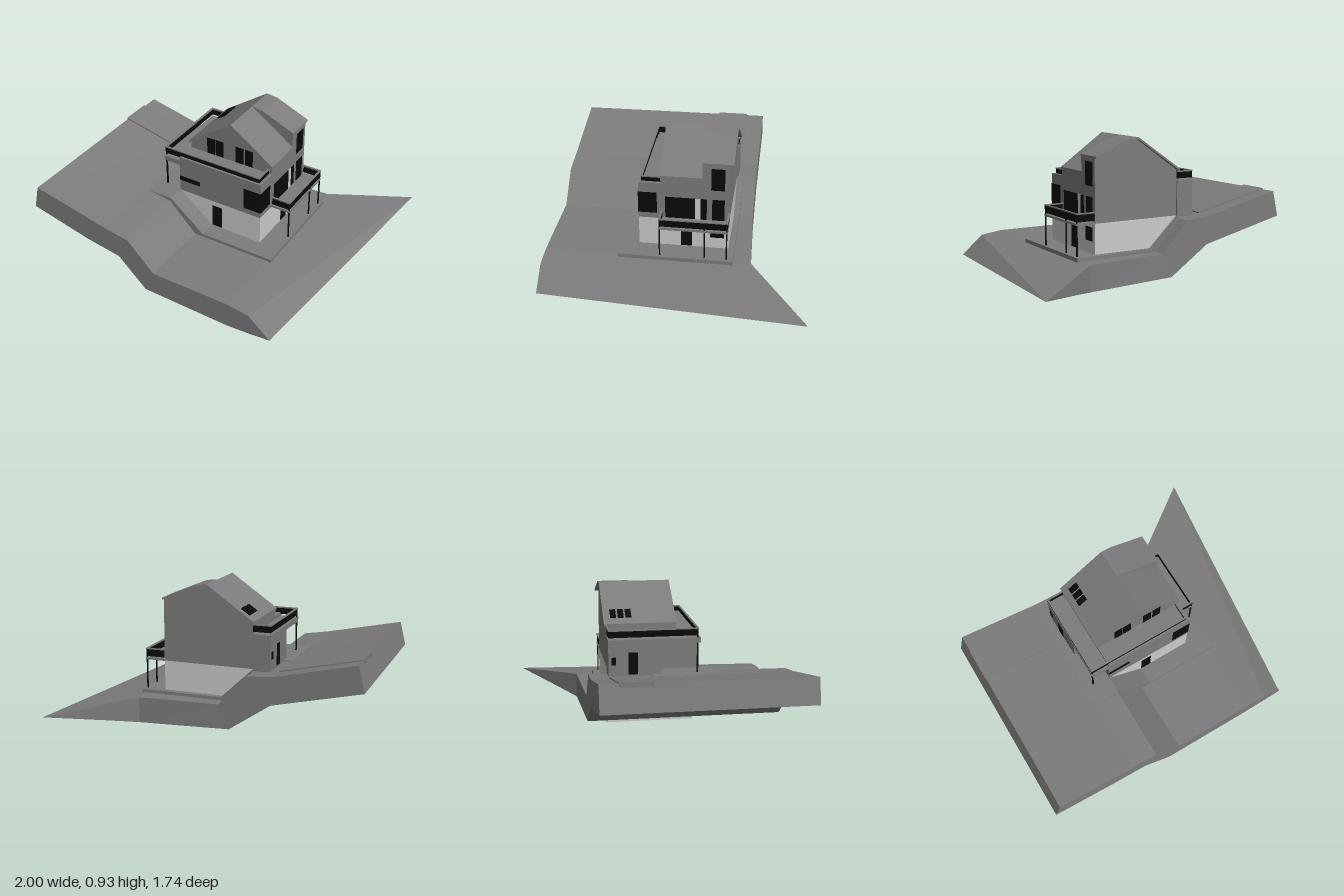
import * as THREE from 'three';

const mat = (color) => new THREE.MeshStandardMaterial({ color, flatShading: true });
const grey = mat(0x7c7c7c);
const light = mat(0xcccccc);
const black = mat(0x0a0a0a);

export function createModel() {
  const root = new THREE.Group();

  const add = (name, geometry, material) => {
    const mesh = new THREE.Mesh(geometry, material);
    mesh.name = name;
    root.add(mesh);
    return mesh;
  };
  // box given by its extents on each axis
  const box = (name, [x0, x1], [y0, y1], [z0, z1], material = grey) =>
    add(name, new THREE.BoxGeometry(x1 - x0, y1 - y0, z1 - z0), material)
      .position.set((x0 + x1) / 2, (y0 + y1) / 2, (z0 + z1) / 2);
  // outline in x, y pulled from z0 to z1
  const prism = (name, outline, z0, z1, material = grey) => {
    const shape = new THREE.Shape(outline.map(([x, y]) => new THREE.Vector2(x, y)));
    const geometry = new THREE.ExtrudeGeometry(shape, { depth: z1 - z0, bevelEnabled: false });
    add(name, geometry.translate(0, 0, z0), material);
  };

  // Sloping plot: a front and a back section joined into a solid
  const section = (xs, ys, zs) => xs.map((x, i) => [x, ys[i], zs[i]]);
  const frontZ = Array(7).fill(0.865);
  const backZ = [-0.46, -0.46, -0.46, -0.46, -0.488, -0.603, -0.87];
  const topF = section([-0.96, -0.42, -0.24, -0.05, 0.5, 0.65, 0.8], [0.515, 0.4, 0.37, 0.18, 0.18, 0.16, 0.03], frontZ);
  const topB = section([-0.96, -0.42, -0.24, -0.05, 0.5, 0.65, 1], [0.525, 0.4, 0.385, 0.18, 0.178, 0.155, 0.1], backZ);
  const botF = section([-1, -0.57, -0.32, -0.12, 0.5, 0.65, 0.8], [0.35, 0.25, 0.21, 0.02, 0.005, 0.015, 0.03], frontZ);
  const botB = section([-1, -0.57, -0.4, -0.12, 0.5, 0.65, 1], [0.35, 0.25, 0.21, 0.02, 0.005, 0.035, 0.1], backZ);
  const points = [];
  const quad = (a, b, c, d) => points.push(...a, ...b, ...c, ...a, ...c, ...d);
  for (let i = 0; i < 6; i++) {
    const j = i + 1;
    quad(topF[i], topF[j], topB[j], topB[i]);
    quad(botF[i], botB[i], botB[j], botF[j]);
    quad(botF[i], botF[j], topF[j], topF[i]);
    quad(botB[j], botB[i], topB[i], topB[j]);
  }
  quad(botB[0], botF[0], topF[0], topB[0]);
  const ground = new THREE.BufferGeometry();
  ground.setAttribute('position', new THREE.Float32BufferAttribute(points, 3));
  ground.computeVertexNormals();
  add('terrain', ground, grey);

  // Driveway and stepped paving around the house
  prism('driveway', [[-0.965, 0.5], [-0.42, 0.385], [-0.42, 0.408], [-0.965, 0.532]], -0.34, -0.13);
  prism('paving', [[-0.42, 0.35], [-0.24, 0.35], [-0.05, 0.16], [0.53, 0.16], [0.53, 0.2],
    [0.01, 0.2], [-0.24, 0.402], [-0.42, 0.402]], -0.06, 0.38);
  box('sidePaving', [0.2, 0.53], [0.16, 0.2], [-0.37, -0.06]);
  prism('rearPaving', [[-0.24, 0.35], [-0.05, 0.16], [0.2, 0.16], [0.2, 0.2], [-0.03, 0.2], [-0.24, 0.4]], -0.37, -0.06);

  // House floors
  box('foundation', [-0.11, 0.38], [0.002, 0.2], [-0.33, 0.26], light);
  prism('groundFloor', [[-0.24, 0.4], [-0.24, 0.36], [-0.05, 0.19], [0.38, 0.19], [0.38, 0.4]], -0.33, 0.26, light);
  box('middleFloor', [-0.24, 0.38], [0.4, 0.66], [-0.33, 0.26]);
  prism('attic', [[-0.24, 0.66], [0.38, 0.66], [0.38, 0.705], [0.07, 0.922], [-0.24, 0.705]], -0.33, 0.115);
  prism('dormer', [[0.07, 0.66], [0.38, 0.66], [0.38, 0.815], [0.15, 0.91], [0.07, 0.92]], -0.33, -0.155);
  box('sideWing', [-0.36, -0.24], [0.39, 0.6], [-0.34, 0]);

  // Roof slabs
  const t = 0.014;
  const roof = (name, line, z0, z1) =>
    prism(name, [...line, ...line.map(([x, y]) => [x, y - t]).reverse()], z0, z1);
  roof('leftRoof', [[0.07, 0.936], [-0.25, 0.715]], -0.355, 0.12);
  roof('rightRoof', [[0.07, 0.936], [0.383, 0.718]], -0.16, 0.12);
  roof('dormerRoof', [[0.07, 0.936], [0.15, 0.926], [0.383, 0.828]], -0.355, -0.152);

  // Skylights lying on the left slope
  const pitch = Math.atan2(0.221, 0.32);
  for (const z of [-0.29, -0.24, -0.19]) {
    const pane = add('skylight', new THREE.BoxGeometry(0.07, 0.012, 0.038), black);
    pane.position.set(-0.18, 0.767, z);
    pane.rotation.z = pitch;
  }

  // Windows and doors: on a z-facing or an x-facing wall
  const d = 0.003;
  const onZ = (name, x, y, z) => box(name, x, y, [z - d, z + d], black);
  const onX = (name, z, y, x, material = black) => box(name, [x - d, x + d], y, z, material);
  onZ('frontDoor', [0.015, 0.088], [0.205, 0.365], 0.26);
  onZ('slitWindow', [-0.24, -0.083], [0.483, 0.515], 0.26);
  onZ('cornerWindowFront', [0.255, 0.383], [0.44, 0.59], 0.26);
  onX('cornerWindowSide', [0.14, 0.263], [0.44, 0.59], 0.38);
  onZ('wingDoor', [-0.33, -0.262], [0.405, 0.568], 0);
  for (const x of [[-0.112, -0.052], [-0.046, 0.012], [0.105, 0.165], [0.177, 0.235]])
    onZ('gableWindow', x, [0.662, 0.78], 0.115);
  onX('gardenDoor', [-0.09, -0.018], [0.205, 0.365], 0.38);
  onX('lowerSideWindow', [-0.3, -0.21], [0.28, 0.37], 0.38);
  onX('terraceDoor', [-0.11, 0.085], [0.41, 0.565], 0.38);
  onX('terraceDoorPanel', [-0.145, -0.11], [0.41, 0.565], 0.38, light);
  onX('terraceDoor', [-0.185, -0.145], [0.41, 0.565], 0.38);
  onX('middleSideWindow', [-0.3, -0.22], [0.41, 0.565], 0.38);
  onX('dormerWindow', [-0.3, -0.212], [0.635, 0.79], 0.38);
  onX('wingSideDoor', [-0.21, -0.15], [0.405, 0.55], -0.36);
  onX('wingSideWindow', [-0.32, -0.29], [0.47, 0.52], -0.36);

  // Railing: dark panel with a thin grey handrail, along x or z
  const railing = (name, x, y, z) => {
    box(name, x, y, z, black);
    box(name + 'Handrail', [x[0] - 0.003, x[1] + 0.003], [y[1], y[1] + 0.008], [z[0] - 0.003, z[1] + 0.003]);
  };
  const w = 0.006;

  // Right balcony with posts
  box('rightBalcony', [0.38, 0.515], [0.398, 0.412], [-0.335, 0.112]);
  railing('rightBalconyRailing', [0.505, 0.505 + w], [0.42, 0.468], [-0.33, 0.108]);
  for (const z of [-0.333, 0.102]) railing('rightBalconyEndRailing', [0.383, 0.511], [0.42, 0.468], [z, z + w]);
  for (const z of [-0.328, -0.185, 0.106]) box('rightBalconyPost', [0.505, 0.513], [0.2, 0.47], [z - 0.004, z + 0.004], black);

  // Upper terrace wrapping the front and the left side
  box('leftBalcony', [-0.362, -0.24], [0.6, 0.633], [-0.34, 0.26]);
  railing('frontRailing', [-0.36, 0.358], [0.648, 0.69], [0.238, 0.238 + w]);
  railing('leftRailing', [-0.36, -0.36 + w], [0.648, 0.69], [-0.335, 0.24]);
  railing('leftEndRailing', [-0.36, -0.24], [0.648, 0.69], [-0.338, -0.338 + w]);
  railing('rightEndRailing', [0.352, 0.352 + w], [0.66, 0.69], [0.118, 0.24]);
  box('leftBalconyPost', [-0.36, -0.351], [0.4, 0.69], [0.236, 0.245], black);

  return root;
}
